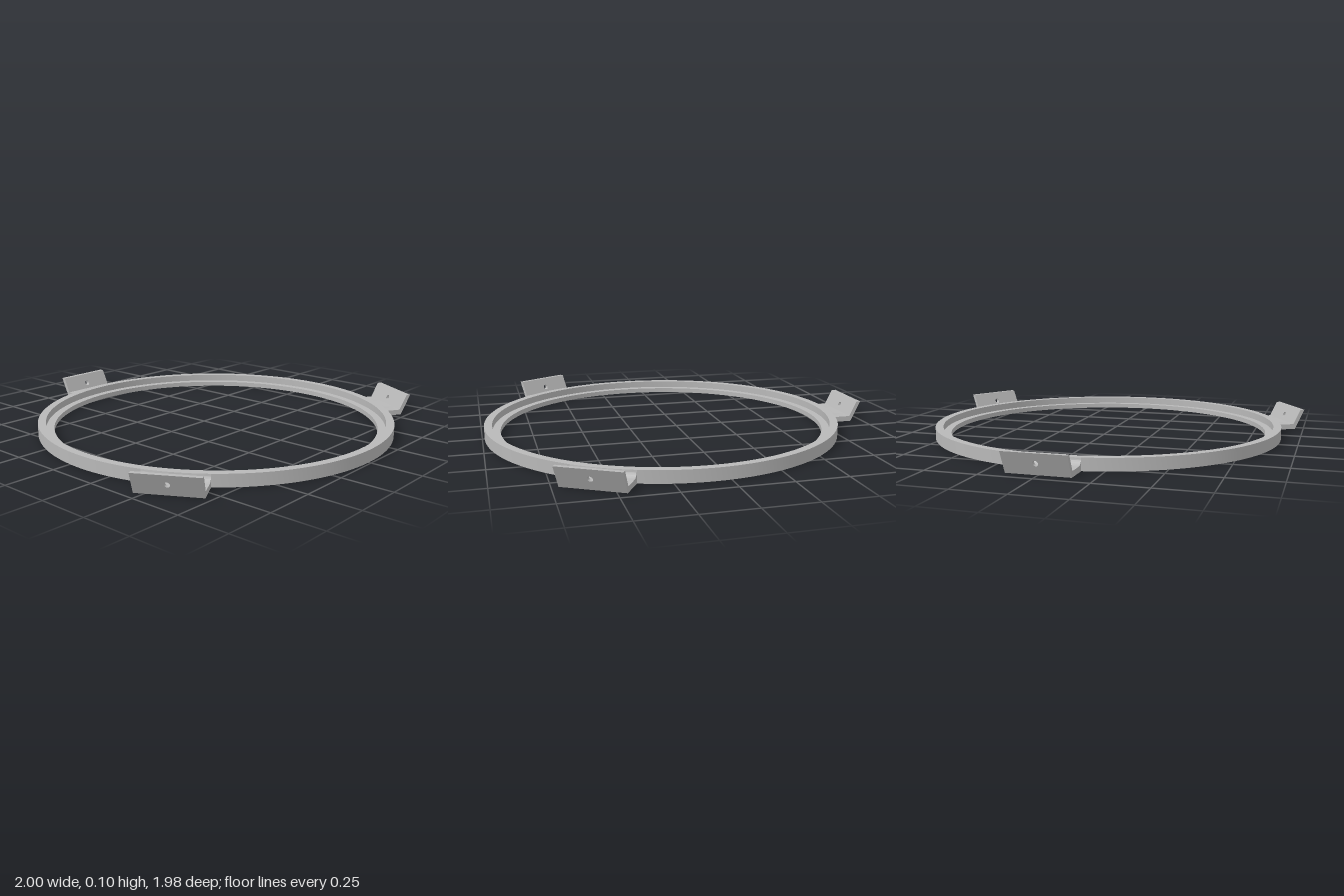
import * as THREE from 'three';
import { toCreasedNormals } from 'three/addons/utils/BufferGeometryUtils.js';

const RING_Z = 0.08;      // ring centre, offset by the rear bracket
const R_OUT = 0.909, R_STEP = 0.869, R_IN = 0.829;
const RING_H = 0.06, FLOOR_H = 0.027;
const WIDTH = 0.3;        // bracket width
const SLOPE = 0.495;      // outward lean of the flange
const grey = new THREE.MeshStandardMaterial({ color: 0xb8b8b8 });
grey.name = 'metal grey';

function part(name, geometry, crease = 0.6) {
  const mesh = new THREE.Mesh(toCreasedNormals(geometry, crease), grey);
  mesh.name = name;
  return mesh;
}

// Ring with an inner ledge
function ringGeometry() {
  const profile = [
    [R_IN, 0], [R_OUT, 0], [R_OUT, RING_H], [R_STEP, RING_H],
    [R_STEP, 0.025], [R_IN, 0.025], [R_IN, 0],
  ].map(([r, y]) => new THREE.Vector2(r, y));
  return new THREE.LatheGeometry(profile, 160);
}

// Bracket floor with a concave fillet that follows the ring
function floorGeometry() {
  const fillet = RING_H - FLOOR_H;
  const s = new THREE.Shape();
  s.moveTo(0.904, 0);
  s.lineTo(1.003, 0);
  s.lineTo(1.003 + FLOOR_H * SLOPE, FLOOR_H);
  s.lineTo(R_OUT + fillet, FLOOR_H);
  s.absarc(R_OUT + fillet, RING_H, fillet, -Math.PI / 2, -Math.PI, true);
  s.lineTo(0.904, RING_H);
  s.closePath();
  const g = new THREE.ExtrudeGeometry(s, { depth: WIDTH, steps: 20, bevelEnabled: false, curveSegments: 8 });
  g.rotateY(-Math.PI / 2);
  g.translate(WIDTH / 2, 0, 0);
  const p = g.attributes.position;
  for (let i = 0; i < p.count; i++) {
    const r = p.getZ(i);
    if (r < 0.95) p.setZ(i, Math.sqrt(r * r - p.getX(i) ** 2));
  }
  return g;
}

// Leaning flange with a screw hole
function flangeGeometry() {
  const w = WIDTH / 2, h = 0.105, t = 0.022;
  const s = new THREE.Shape();
  s.moveTo(-w, 0);
  s.lineTo(w, 0);
  s.lineTo(w, h);
  s.lineTo(-w, h);
  s.closePath();
  s.holes.push(new THREE.Path().absarc(0, 0.056, 0.013, 0, Math.PI * 2, true));
  const g = new THREE.ExtrudeGeometry(s, { depth: t, bevelEnabled: false, curveSegments: 24 });
  g.applyMatrix4(new THREE.Matrix4().makeShear(0, 0, 0, SLOPE, 0, 0));
  g.translate(0, 0, 1.018 - t);
  return g;
}

export function createModel() {
  const model = new THREE.Group();
  model.name = 'mountingRing';
  const ring = part('ring', ringGeometry());
  ring.position.z = RING_Z;
  model.add(ring);

  // Three brackets, evenly spaced
  const places = { rearBracket: Math.PI, leftBracket: Math.PI / 3, rightBracket: -Math.PI / 3 };
  for (const [name, angle] of Object.entries(places)) {
    const bracket = new THREE.Group();
    bracket.name = name;
    bracket.add(part('bracketFloor', floorGeometry()), part('bracketFlange', flangeGeometry()));
    bracket.position.z = RING_Z;
    bracket.rotation.y = angle;
    model.add(bracket);
  }
  return model;
}
